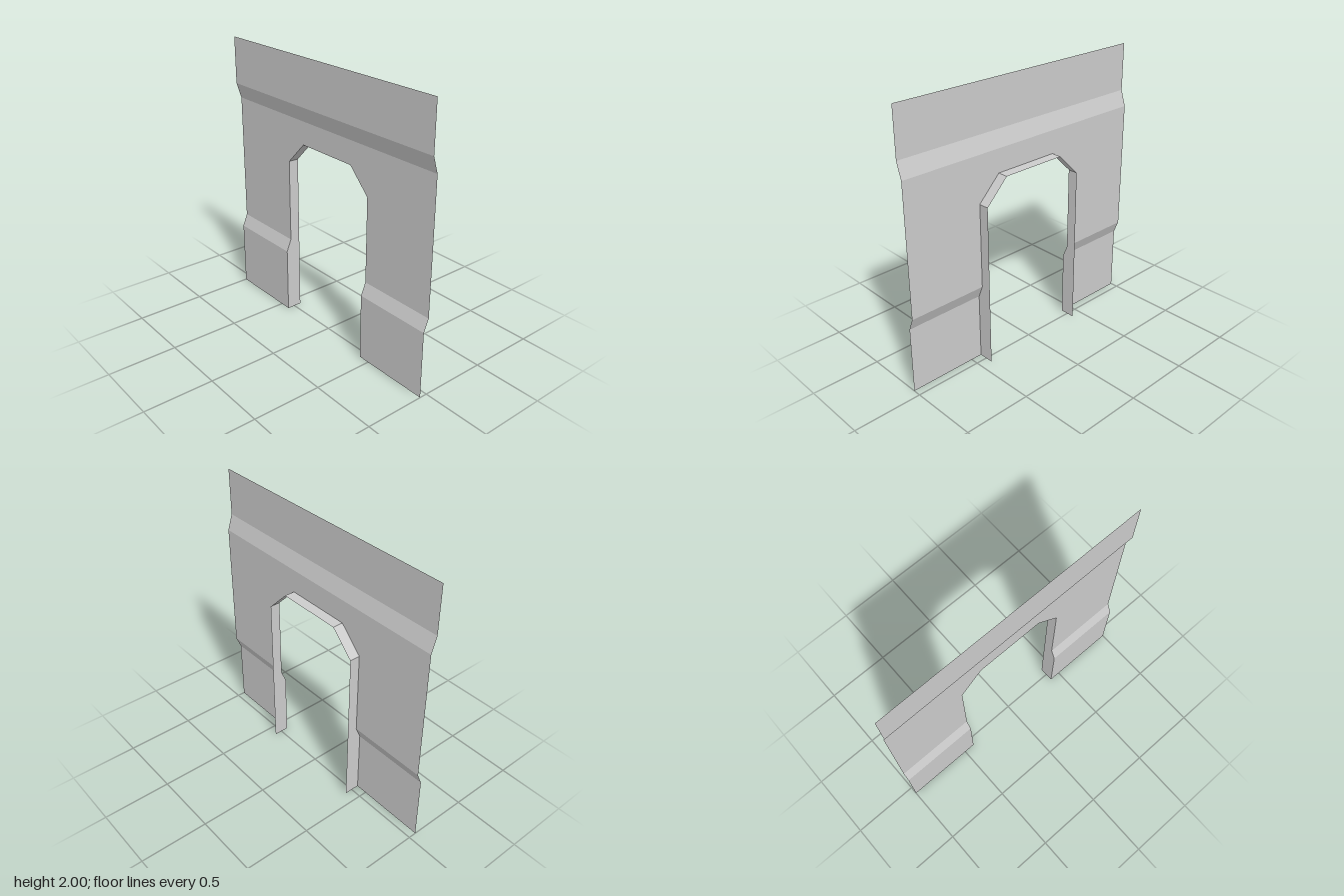
import * as THREE from 'three';

const material = new THREE.MeshStandardMaterial({
  color: 0xcccccc, flatShading: true, side: THREE.DoubleSide,
});

// Flat-faced strip of quads between two matching lines of points
function ribbon(name, a, b) {
  const pos = [];
  for (let i = 0; i < a.length - 1; i++) {
    for (const p of [a[i], b[i], b[i + 1], a[i], b[i + 1], a[i + 1]]) pos.push(...p);
  }
  const geometry = new THREE.BufferGeometry();
  geometry.setAttribute('position', new THREE.Float32BufferAttribute(pos, 3));
  geometry.computeVertexNormals();
  const mesh = new THREE.Mesh(geometry, material);
  mesh.name = name;
  return mesh;
}

export function createModel() {
  const group = new THREE.Group();
  group.name = 'doorwayWall';

  const outer = 0.057, recess = 0.02, back = -0.057; // depths
  const half = 1, door = 0.415, doorTop = 0.247; // half widths

  // Rows beside the opening: [inner x, y, z]
  const jamb = [
    [door, 0, outer],
    [door, 0.49, outer],
    [door, 0.58, recess],
    [door, 1.2, recess],
    [doorTop, 1.37, recess],
  ];
  const edge = jamb.map(([, y, z]) => [half, y, z]);
  const mirror = (line) => line.map(([x, y, z]) => [-x, y, z]);

  // Piers, with sloped ledge and chamfered shoulder
  group.add(ribbon('leftPier', jamb, edge));
  group.add(ribbon('rightPier', mirror(edge), mirror(jamb)));

  // Wall above the opening, stepping forward again at the top
  const upper = [
    [half, 1.37, recess],
    [half, 1.54, recess],
    [half, 1.655, outer],
    [half, 2, outer],
  ];
  group.add(ribbon('upperWall', mirror(upper), upper));

  // Reveal running back around the opening
  const rim = [...jamb, ...mirror(jamb).reverse()];
  group.add(ribbon('doorReveal', rim.map(([x, y]) => [x, y, back]), rim));

  return group;
}
